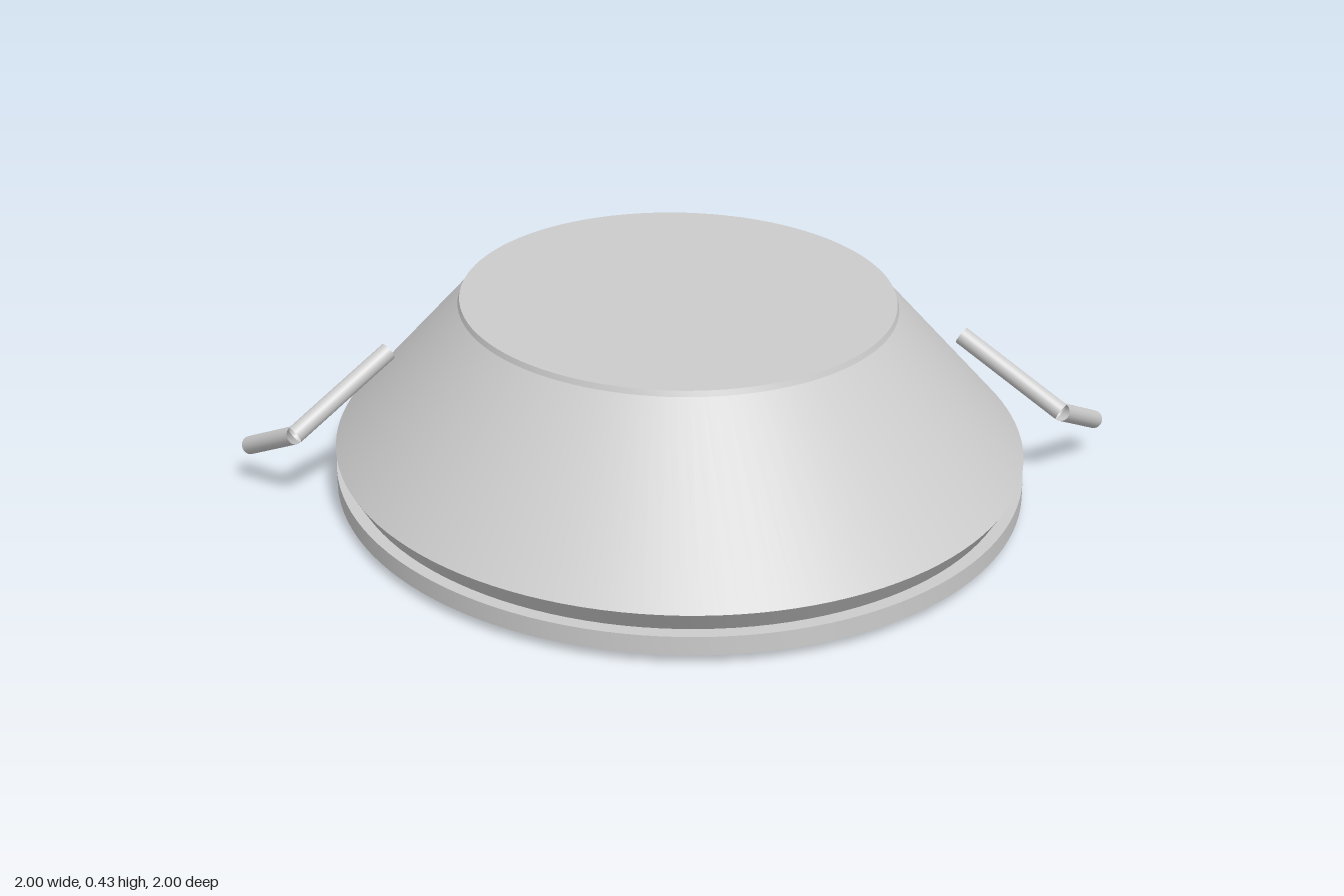
import * as THREE from 'three';
import { toCreasedNormals } from 'three/addons/utils/BufferGeometryUtils.js';

const OVAL = 0.787; // width of the oval relative to its length
const grey = new THREE.MeshStandardMaterial({ color: 0xcccccc });
const tubeGrey = new THREE.MeshStandardMaterial({ color: 0xcccccc, side: THREE.DoubleSide });

// Turned profile of [radius, height] points, bottom to top, squeezed to an oval
function ovalLathe(name, profile) {
  const points = profile.map(([r, y]) => new THREE.Vector2(r, y));
  const round = new THREE.LatheGeometry(points, 128);
  const geometry = toCreasedNormals(round, 0.3);
  geometry.scale(OVAL, 1, 1);
  const mesh = new THREE.Mesh(geometry, grey);
  mesh.name = name;
  return mesh;
}

// Open-ended tube between two points
function rod(name, a, b, radius) {
  const dir = b.clone().sub(a);
  const geometry = new THREE.CylinderGeometry(radius, radius, dir.length(), 24, 1, true);
  const mesh = new THREE.Mesh(geometry, tubeGrey);
  mesh.name = name;
  mesh.position.copy(a).add(b).multiplyScalar(0.5);
  mesh.quaternion.setFromUnitVectors(new THREE.Vector3(0, 1, 0), dir.normalize());
  return mesh;
}

export function createModel() {
  const model = new THREE.Group();
  model.name = 'ovalBodyWithArms';

  // Flat base rim
  model.add(ovalLathe('baseRim', [[0, 0.02], [1, 0.02], [1, 0.06], [0, 0.06]]));

  // Very shallow dome under the base
  const dome = [];
  for (let i = 0; i <= 8; i++) {
    const t = i / 8;
    dome.push([0.88 * t, 0.003 + 0.018 * t * t]);
  }
  model.add(ovalLathe('undersideDome', dome));

  // Undercut neck, sloping shell and flat top
  model.add(ovalLathe('shell', [
    [0.965, 0.06], [1, 0.106], [0.635, 0.421], [0.63, 0.433], [0, 0.433],
  ]));

  // Bent arm on each side
  for (const [side, name] of [[1, 'leftArm'], [-1, 'rightArm']]) {
    const arm = new THREE.Group();
    arm.name = name;
    const inner = new THREE.Vector3(side * 0.66, 0.31, 0);
    const elbow = new THREE.Vector3(side * 0.87, 0.167, 0.14);
    const outer = new THREE.Vector3(side * 0.985, 0.09, 0);
    arm.add(rod('upperArm', inner, elbow, 0.021), rod('forearm', elbow, outer, 0.021));
    model.add(arm);
  }

  return model;
}
